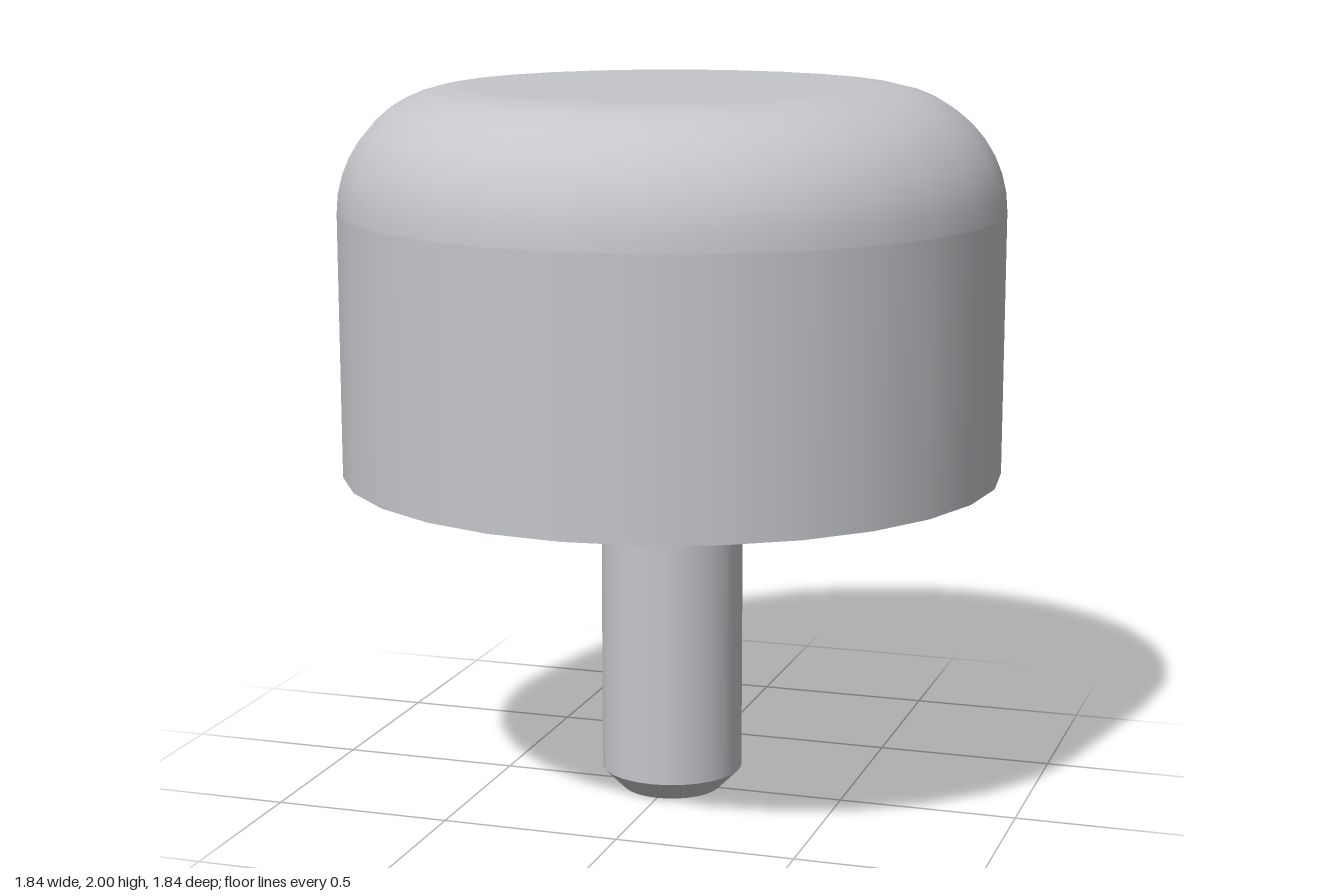
import * as THREE from 'three';

// One revolved surface; hard edges lie between separate bands.
function band(name, points, segments, material) {
  const profile = points.map(([r, y]) => new THREE.Vector2(r, y));
  const mesh = new THREE.Mesh(new THREE.LatheGeometry(profile, segments), material);
  mesh.name = name;
  return mesh;
}

export function createModel() {
  const steel = new THREE.MeshStandardMaterial({ color: 0xc4c6ca });
  steel.name = 'satin steel';

  const R = 0.92, base = 0.93, top = 2, fillet = 0.338;
  const hole = 0.215, recess = 1.0, sides = 28;
  const stemR = 0.2, tipR = 0.14, chamfer = 0.06;

  // Rounded shoulder as a quarter arc
  const shoulder = [];
  for (let i = 0; i <= 10; i++) {
    const a = (i / 10) * Math.PI / 2;
    shoulder.push([R - fillet + fillet * Math.cos(a), top - fillet + fillet * Math.sin(a)]);
  }

  // Broad head with a shallow socket underneath
  const head = new THREE.Group();
  head.name = 'head';
  head.add(
    band('socketCeiling', [[0, recess], [hole, recess]], sides, steel),
    band('socketWall', [[hole, recess], [hole, base]], sides, steel),
    band('headUnderside', [[hole, base], [R, base]], sides, steel),
    band('headSide', [[R, base], [R, top - fillet]], sides, steel),
    band('headShoulder', shoulder, sides, steel),
    band('headTop', [[R - fillet, top], [0, top]], sides, steel)
  );

  // Pin with a chamfered tip
  const pin = new THREE.Group();
  pin.name = 'pin';
  pin.add(
    band('pinTip', [[0, 0], [tipR, 0]], sides, steel),
    band('pinChamfer', [[tipR, 0], [stemR, chamfer]], sides, steel),
    band('pinShaft', [[stemR, chamfer], [stemR, recess]], sides, steel)
  );

  const model = new THREE.Group();
  model.name = 'locatingPin';
  model.add(head, pin);
  return model;
}
